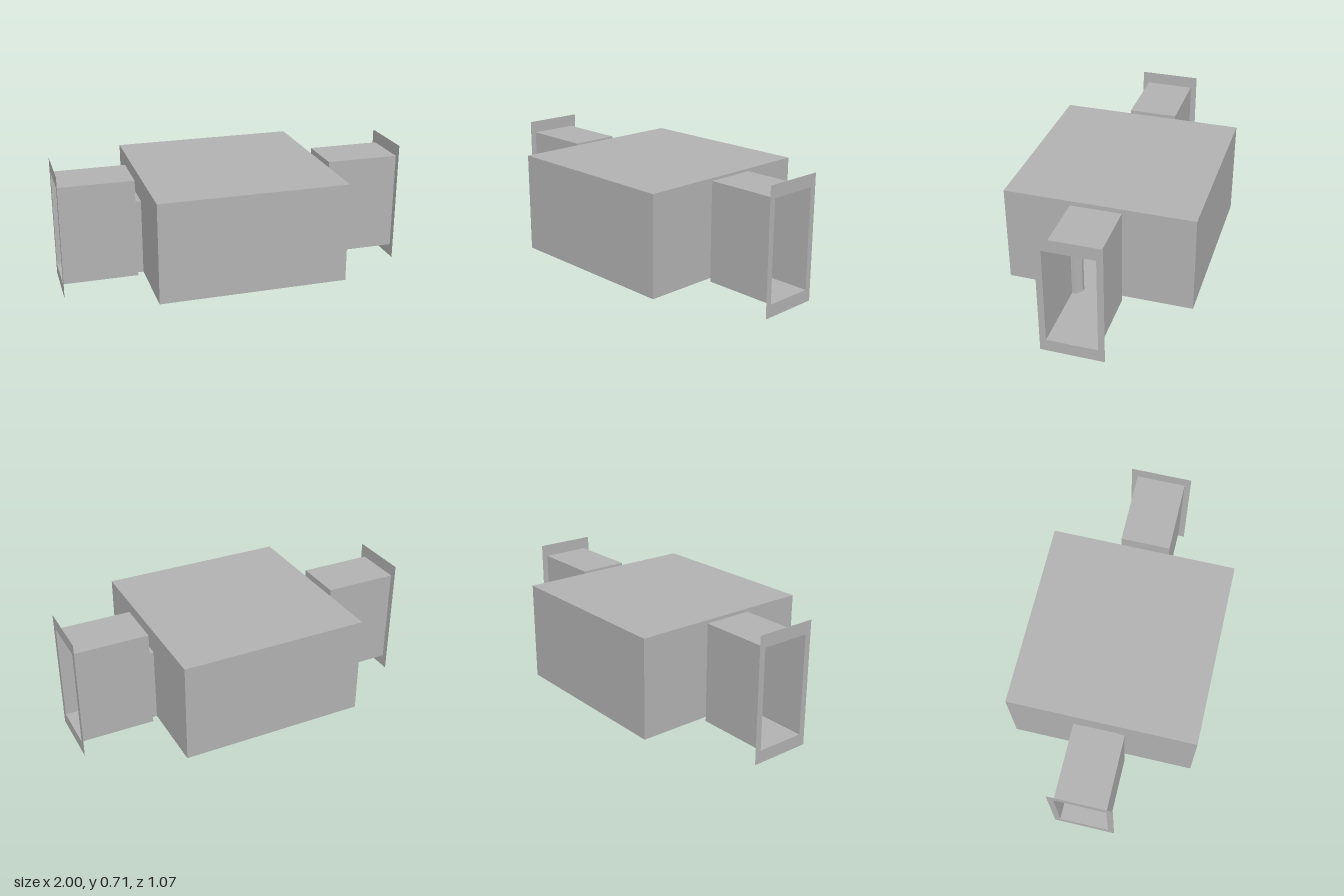
import * as THREE from 'three';

const FLOOR = 0.072, TOP = 0.643;
const grey = new THREE.MeshStandardMaterial({ color: 0xb2b2b2, side: THREE.DoubleSide });
grey.name = 'plain grey';

function add(parent, name, geometry) {
  const mesh = new THREE.Mesh(geometry, grey);
  mesh.name = name;
  parent.add(mesh);
}

// Open rectangular duct along x, through sections [x, half width, top]
function duct(sections) {
  const pos = [];
  const corners = ([x, w, t]) => [[x, FLOOR, w], [x, FLOOR, -w], [x, t, -w], [x, t, w]];
  for (let i = 0; i < sections.length - 1; i++) {
    const a = corners(sections[i]), b = corners(sections[i + 1]);
    for (let j = 0; j < 4; j++) {
      const k = (j + 1) % 4;
      pos.push(...a[j], ...a[k], ...b[k], ...a[j], ...b[k], ...b[j]);
    }
  }
  const g = new THREE.BufferGeometry();
  g.setAttribute('position', new THREE.Float32BufferAttribute(pos, 3));
  g.computeVertexNormals();
  return g;
}

// Flat sheet across x, from a shape drawn in (z, y)
function sheet(x, points, hole) {
  const toVec = (p) => p.map(([u, v]) => new THREE.Vector2(u, v));
  const shape = new THREE.Shape(toVec(points));
  if (hole) shape.holes.push(new THREE.Path(toVec(hole)));
  return new THREE.ShapeGeometry(shape).rotateY(Math.PI / 2).translate(x, 0, 0);
}

const rect = (w, y0, y1) => [[-w, y0], [w, y0], [w, y1], [-w, y1]];

// Wall with a doorway open down to the floor
const doorWall = (x, w, doorW, doorTop) => sheet(x, [
  [-w, FLOOR], [-doorW, FLOOR], [-doorW, doorTop], [doorW, doorTop],
  [doorW, FLOOR], [w, FLOOR], [w, TOP], [-w, TOP],
]);

export function createModel() {
  const model = new THREE.Group();
  model.name = 'chamberWithPassages';

  // Hollow central chamber
  add(model, 'chamberShell', duct([[-0.535, 0.535, TOP], [0.535, 0.535, TOP]]));

  // The two identical ends
  for (const [name, turn] of [['leftPassage', 0], ['rightPassage', Math.PI]]) {
    const end = new THREE.Group();
    end.name = name;
    end.rotation.y = turn;
    add(end, 'chamberDoorWall', doorWall(0.535, 0.535, 0.09, 0.49));
    add(end, 'neck', duct([[0.535, 0.105, 0.505], [0.573, 0.105, 0.505]]));
    add(end, 'doorLining', duct([[0.535, 0.09, 0.49], [0.56, 0.09, 0.49], [0.59, 0.12, 0.52]]));
    add(end, 'passageOuterWall', doorWall(0.573, 0.143, 0.105, 0.505));
    add(end, 'passageInnerWall', doorWall(0.59, 0.143, 0.12, 0.52));
    add(end, 'passageDuct', duct([[0.573, 0.143, TOP], [1, 0.143, TOP]]));
    add(end, 'flange', sheet(1, rect(0.179, 0, 0.715), rect(0.143, FLOOR, TOP)));
    model.add(end);
  }
  return model;
}
